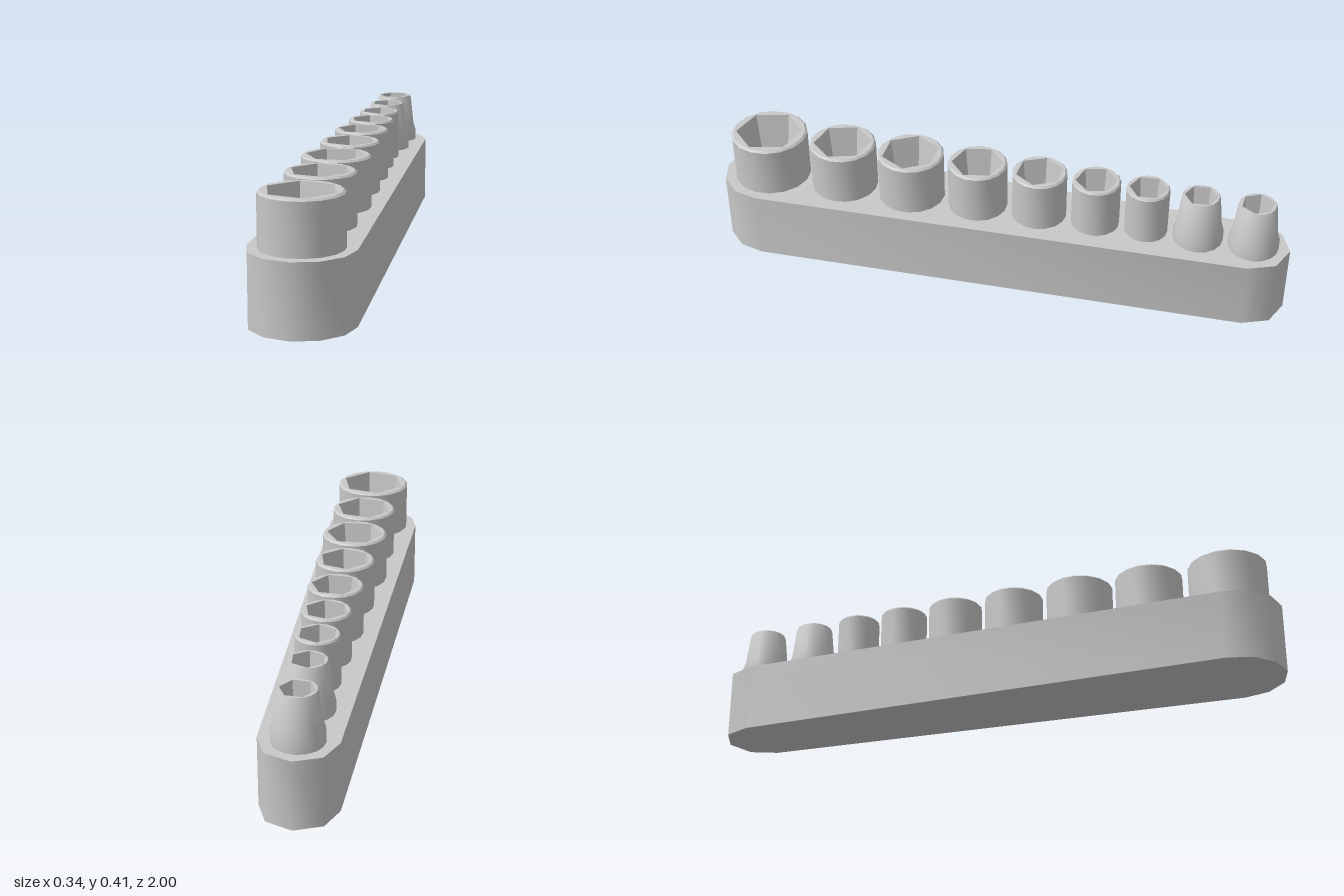
import * as THREE from 'three';
import { toCreasedNormals, mergeVertices } from 'three/addons/utils/BufferGeometryUtils.js';

const DECK = 0.236, TOP = 0.41, SIDES = 16;

// Regular polygon points, first corner on the second axis
function ring(radius, sides) {
  return Array.from({ length: sides }, (_, i) => {
    const a = (i / sides) * Math.PI * 2;
    return new THREE.Vector2(radius * Math.sin(a), radius * Math.cos(a));
  });
}

// Tapering tray with a faceted round at each end (plan: x, -z)
function trayGeometry() {
  const pts = [];
  const frontR = 0.168, backR = 0.126;
  for (let i = 0; i <= 6; i++) {
    const a = Math.PI + (i / 6) * Math.PI;
    pts.push(new THREE.Vector2(frontR * Math.cos(a), -(1 - frontR) + frontR * Math.sin(a)));
  }
  for (let i = 0; i <= 4; i++) {
    const a = (i / 4) * Math.PI;
    pts.push(new THREE.Vector2(backR * Math.cos(a), 1 - backR + backR * Math.sin(a)));
  }
  const geo = new THREE.ExtrudeGeometry(new THREE.Shape(pts), { depth: DECK, bevelEnabled: false });
  geo.rotateX(-Math.PI / 2);
  return toCreasedNormals(geo, 0.9);
}

// One socket: outer shell, flat rim with hex opening, tapered hex bore
function makeSocket(baseR, topR, turn, material) {
  const socket = new THREE.Group();
  const add = (name, geo) => {
    const mesh = new THREE.Mesh(geo, material);
    mesh.name = name;
    socket.add(mesh);
  };

  const rimR = topR * 0.94, hexR = topR * 0.87, boreR = topR * 0.64;
  const profile = [[baseR, DECK - 0.005]];
  if (baseR > topR) profile.push([baseR, 0.275], [baseR * 0.9, 0.3]);
  profile.push([topR, TOP - 0.006], [rimR, TOP]);
  const shell = new THREE.LatheGeometry(profile.map(([r, y]) => new THREE.Vector2(r, y)), SIDES);
  add('socketShell', toCreasedNormals(shell, 0.6));

  const rimShape = new THREE.Shape(ring(rimR, SIDES));
  rimShape.holes.push(new THREE.Path(ring(hexR, 6)));
  add('socketRim', new THREE.ShapeGeometry(rimShape).rotateX(-Math.PI / 2).translate(0, TOP, 0));

  // Mirrored so that the walls face inward
  const bore = new THREE.CylinderGeometry(hexR, boreR, TOP - DECK, 6, 1, true)
    .scale(-1, 1, 1).translate(0, (TOP + DECK) / 2, 0).toNonIndexed();
  bore.computeVertexNormals();
  add('hexBore', bore);

  socket.rotation.y = turn;
  return socket;
}

export function createModel() {
  const model = new THREE.Group();
  model.name = 'socketSet';
  const steel = new THREE.MeshStandardMaterial({ color: 0xc8c8c8, side: THREE.DoubleSide });
  steel.name = 'grey steel';

  const tray = new THREE.Mesh(trayGeometry(), steel);
  tray.name = 'tray';
  model.add(tray);

  // z, base radius, top radius, turn in degrees
  const sockets = [
    [0.829, 0.133, 0.133, 15],
    [0.559, 0.115, 0.115, 18],
    [0.313, 0.115, 0.115, 30],
    [0.075, 0.102, 0.102, 12],
    [-0.142, 0.094, 0.094, 26],
    [-0.338, 0.082, 0.082, 14],
    [-0.513, 0.073, 0.073, 5],
    [-0.69, 0.084, 0.064, 5],
    [-0.877, 0.084, 0.064, 26],
  ];
  sockets.forEach(([z, baseR, topR, turn], i) => {
    const socket = makeSocket(baseR, topR, THREE.MathUtils.degToRad(turn), steel);
    socket.name = `socket${i + 1}`;
    socket.position.z = z;
    model.add(socket);
  });
  return model;
}
